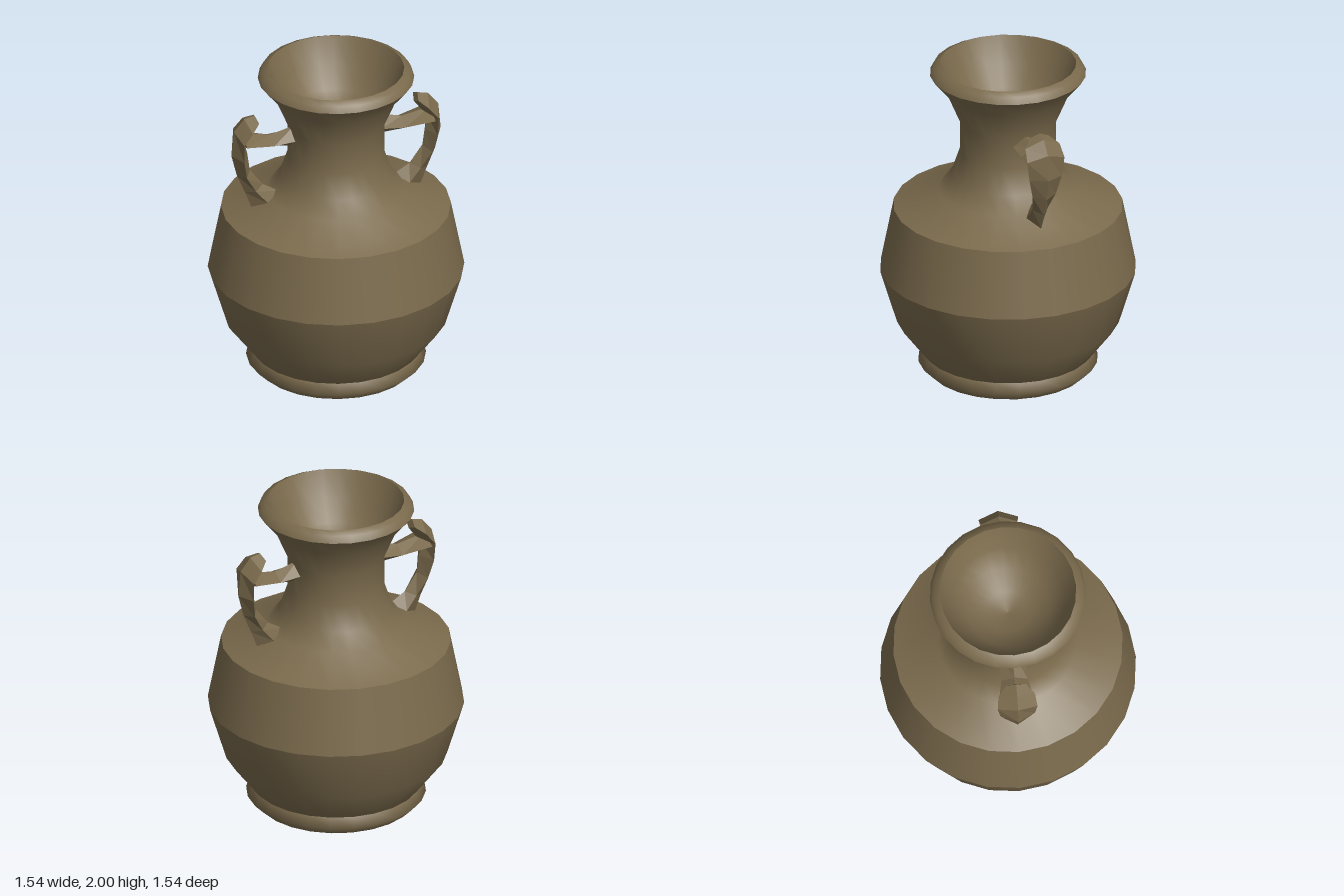
import * as THREE from 'three';

export function createModel() {
  const group = new THREE.Group();
  group.name = 'vase';
  const clay = new THREE.MeshStandardMaterial({ color: 0x7a6a4c });
  clay.name = 'brown clay';

  const add = (parent, name, geometry) => {
    const mesh = new THREE.Mesh(geometry, clay);
    mesh.name = name;
    parent.add(mesh);
  };

  // Turned parts: each band is smooth, with a sharp edge where two bands meet
  const turn = (name, profile) =>
    add(group, name, new THREE.LatheGeometry(profile.map(([r, y]) => new THREE.Vector2(r, y)), 24));

  turn('underside', [[0, 0], [0.48, 0]]);
  turn('foot', [[0.48, 0], [0.54, 0.06], [0.51, 0.12]]);
  turn('lowerBelly', [[0.51, 0.12], [0.67, 0.33], [0.77, 0.66]]);
  turn('upperBelly', [[0.77, 0.66], [0.69, 1.07]]);
  turn('shoulderAndNeck', [
    [0.69, 1.07], [0.42, 1.18], [0.34, 1.28], [0.29, 1.43],
    [0.29, 1.63], [0.37, 1.82], [0.47, 1.94],
  ]);
  turn('lip', [[0.47, 1.94], [0.45, 1.98], [0.41, 2]]);
  turn('mouthInside', [[0.41, 2], [0.34, 1.84], [0.25, 1.72], [0.13, 1.65], [0, 1.63]]);

  // Faceted bar with a diamond section: [outer x, y, inner x, y, half width]
  const diamondBar = (sections) => {
    const pos = [];
    const rings = sections.map(([ox, oy, ix, iy, w]) => {
      const mx = (ox + ix) / 2, my = (oy + iy) / 2;
      return [[ox, oy, 0], [mx, my, w], [ix, iy, 0], [mx, my, -w]];
    });
    const quad = (a, b, c, d) => pos.push(...a, ...b, ...c, ...b, ...d, ...c);
    for (let i = 0; i < rings.length - 1; i++) {
      for (let k = 0; k < 4; k++) {
        const n = (k + 1) % 4;
        quad(rings[i][k], rings[i][n], rings[i + 1][k], rings[i + 1][n]);
      }
    }
    const s = rings[0], e = rings[rings.length - 1];
    quad(s[0], s[3], s[1], s[2]);
    quad(e[0], e[1], e[3], e[2]);
    const g = new THREE.BufferGeometry();
    g.setAttribute('position', new THREE.Float32BufferAttribute(pos, 3));
    g.computeVertexNormals();
    return g;
  };

  const grip = diamondBar([
    [0.51, 1.755, 0.487, 1.7, 0.06],
    [0.575, 1.74, 0.53, 1.64, 0.11],
    [0.64, 1.66, 0.575, 1.58, 0.12],
    [0.655, 1.5, 0.555, 1.5, 0.105],
    [0.62, 1.36, 0.54, 1.39, 0.075],
    [0.57, 1.24, 0.46, 1.28, 0.05],
    [0.53, 1.135, 0.36, 1.22, 0.06],
  ]);
  const bridge = diamondBar([
    [0.26, 1.65, 0.26, 1.515, 0.08],
    [0.41, 1.61, 0.41, 1.53, 0.08],
    [0.59, 1.645, 0.59, 1.56, 0.115],
  ]);

  // Two handles, turned half a circle apart
  ['leftHandle', 'rightHandle'].forEach((name, i) => {
    const handle = new THREE.Group();
    handle.name = name;
    add(handle, 'grip', grip);
    add(handle, 'bridge', bridge);
    handle.rotation.y = i * Math.PI;
    group.add(handle);
  });

  return group;
}
